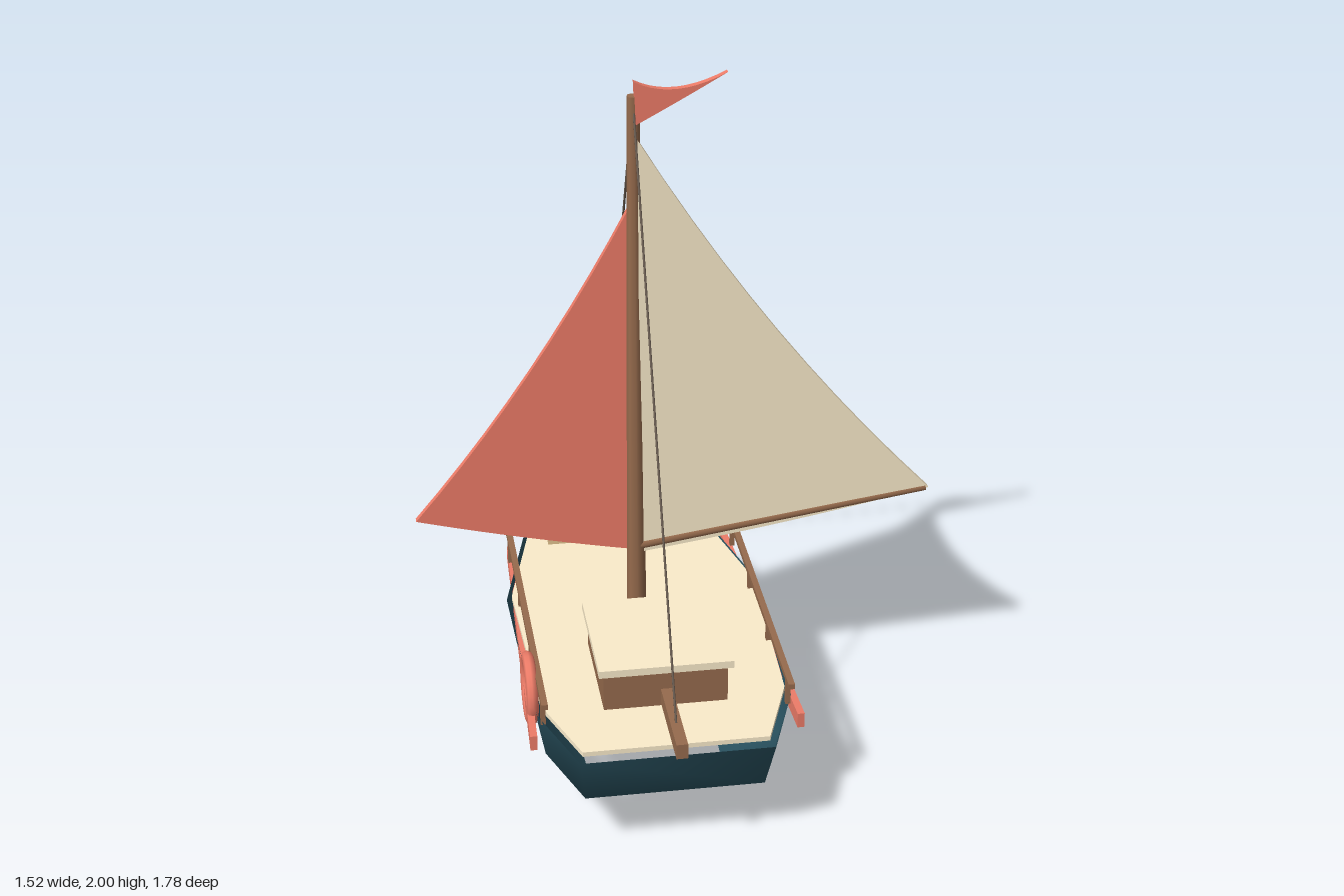
import * as THREE from 'three';

const paint = (color, options = {}) => new THREE.MeshStandardMaterial({ color, ...options });
const CREAM = paint(0xfbeccb), RED = paint(0xed7c68), WOOD = paint(0x966b4d), TAN = paint(0xe4c591);
const TEAL = paint(0x2a5361), ROPE = paint(0x6a5d52);
const HULL = paint(0x2a5361, { side: THREE.DoubleSide });
const RED_FLAT = paint(0xed7c68, { flatShading: true });

// Half of the deck outline, bow to stern: [half width, z]
const HALF = [[0.27, -0.53], [0.382, -0.06], [0.36, 0.58], [0.27, 0.833]];
const OUTLINE = [[0, -0.89], ...HALF, ...HALF.map(([x, z]) => [-x, z]).reverse()];

export function createModel() {
  const boat = new THREE.Group();
  boat.name = 'sailboat';
  boat.position.x = -0.116; // all parts are placed from the keel line

  const add = (name, geometry, material, x = 0, y = 0, z = 0) => {
    const mesh = new THREE.Mesh(geometry, material);
    mesh.name = name;
    mesh.position.set(x, y, z);
    boat.add(mesh);
    return mesh;
  };
  const box = (name, material, w, h, d, x, y, z) =>
    add(name, new THREE.BoxGeometry(w, h, d), material, x, y, z);
  // Round bar between two points
  const bar = (name, material, a, b, r0, r1, sides) => {
    const from = new THREE.Vector3(...a), to = new THREE.Vector3(...b);
    const dir = to.clone().sub(from);
    const mesh = add(name, new THREE.CylinderGeometry(r1, r0, dir.length(), sides), material);
    mesh.position.copy(from).lerp(to, 0.5);
    mesh.quaternion.setFromUnitVectors(new THREE.Vector3(0, 1, 0), dir.normalize());
  };
  // Thin cloth panel drawn in the x-y plane and centred on z
  const cloth = (name, material, z, draw) => {
    const shape = new THREE.Shape();
    draw(shape);
    const geometry = new THREE.ExtrudeGeometry(shape, { depth: 0.02, bevelEnabled: false, curveSegments: 10 });
    add(name, geometry, material, 0, 0, z - 0.01);
  };

  add('hull', hullGeometry(), HULL);

  // Deck plate, slightly inside the hull edge
  const deckShape = new THREE.Shape(OUTLINE.map(([x, z]) => new THREE.Vector2(x * 0.96, z * 0.96)));
  const deck = new THREE.ExtrudeGeometry(deckShape, { depth: 0.014, bevelEnabled: false });
  deck.rotateX(Math.PI / 2);
  add('deck', deck, CREAM, 0, 0.349, 0);

  // Cabin, tiller and crate
  box('cabin', WOOD, 0.35, 0.125, 0.35, 0, 0.403, 0.425);
  box('cabinRoof', CREAM, 0.38, 0.022, 0.38, 0, 0.476, 0.43);
  box('cabinWindow', TEAL, 0.23, 0.085, 0.012, 0, 0.41, 0.247);
  box('tiller', WOOD, 0.032, 0.045, 0.283, 0, 0.387, 0.752);
  box('crate', TAN, 0.13, 0.1, 0.13, -0.159, 0.395, -0.415);

  // Mast, boom and stays
  bar('mast', WOOD, [0, 0.34, 0.015], [0, 1.94, 0.015], 0.029, 0.018, 8);
  bar('boom', WOOD, [0, 0.54, 0.024], [0.868, 0.664, 0.024], 0.015, 0.012, 8);
  bar('sternStay', ROPE, [0, 1.91, 0.022], [0, 0.405, 0.785], 0.0035, 0.0035, 6);
  bar('bowStay', ROPE, [0, 1.91, 0.004], [0, 0.352, -0.79], 0.0035, 0.0035, 6);

  // Sails with hollow outer edges
  cloth('mainSail', CREAM, 0.023, (s) => {
    s.moveTo(0.01, 1.815);
    s.lineTo(0.01, 0.52);
    s.quadraticCurveTo(0.44, 0.575, 0.876, 0.665);
    s.quadraticCurveTo(0.385, 1.175, 0.01, 1.815);
  });
  cloth('foreSail', RED, 0.003, (s) => {
    s.moveTo(-0.01, 1.615);
    s.quadraticCurveTo(-0.284, 1.09, -0.644, 0.665);
    s.quadraticCurveTo(-0.33, 0.58, -0.01, 0.52);
    s.lineTo(-0.01, 1.615);
  });
  cloth('pennant', RED, 0.023, (s) => {
    s.moveTo(0, 1.985);
    s.lineTo(0.005, 1.86);
    s.quadraticCurveTo(0.12, 1.92, 0.26, 2);
    s.quadraticCurveTo(0.11, 1.925, 0, 1.985);
  });
  const patch = add('sailPatch', new THREE.IcosahedronGeometry(0.085, 0), RED_FLAT, 0.158, 1.17, -0.009);
  patch.scale.z = 0.13;

  // Railings and rubbing strips on both sides
  for (const side of [-1, 1]) {
    const label = side > 0 ? 'left' : 'right';
    box(label + 'Rail', WOOD, 0.018, 0.016, 1.07, side * 0.346, 0.41, 0.122);
    for (const z of [0.6, 0.3, 0, -0.31])
      box(label + 'RailPost', WOOD, 0.014, 0.09, 0.014, side * 0.346, 0.367, z);
    const strip = box(label + 'RubbingStrip', RED, 0.02, 0.045, 1.07, side * 0.357, 0.288, 0.11);
    strip.rotation.y = side * 0.038;
  }

  // Life ring hung on the side
  const ring = add('lifeRing', new THREE.TorusGeometry(0.089, 0.017, 8, 20), RED, -0.367, 0.34, 0.44);
  ring.rotation.y = Math.PI / 2;

  const model = new THREE.Group();
  model.name = 'model';
  model.add(boat);
  return model;
}

// Lofted hull shell: three scaled copies of the outline joined by side walls
function hullGeometry() {
  const levels = [[0, 0.55, 0.04], [0.18, 0.93, 0], [0.335, 1, 0]]; // [y, scale, z shift]
  const n = OUTLINE.length, positions = [], index = [];
  for (const [y, k, shift] of levels)
    for (const [x, z] of OUTLINE) positions.push(x * k, y, z * k + shift);
  for (let row = 0; row < (levels.length - 1) * n; row += n)
    for (let j = 0; j < n; j++) {
      const a = row + j, b = row + (j + 1) % n;
      index.push(a, a + n, b + n, a, b + n, b);
    }
  const geometry = new THREE.BufferGeometry();
  geometry.setAttribute('position', new THREE.Float32BufferAttribute(positions, 3));
  geometry.setIndex(index);
  geometry.computeVertexNormals();
  return geometry;
}
